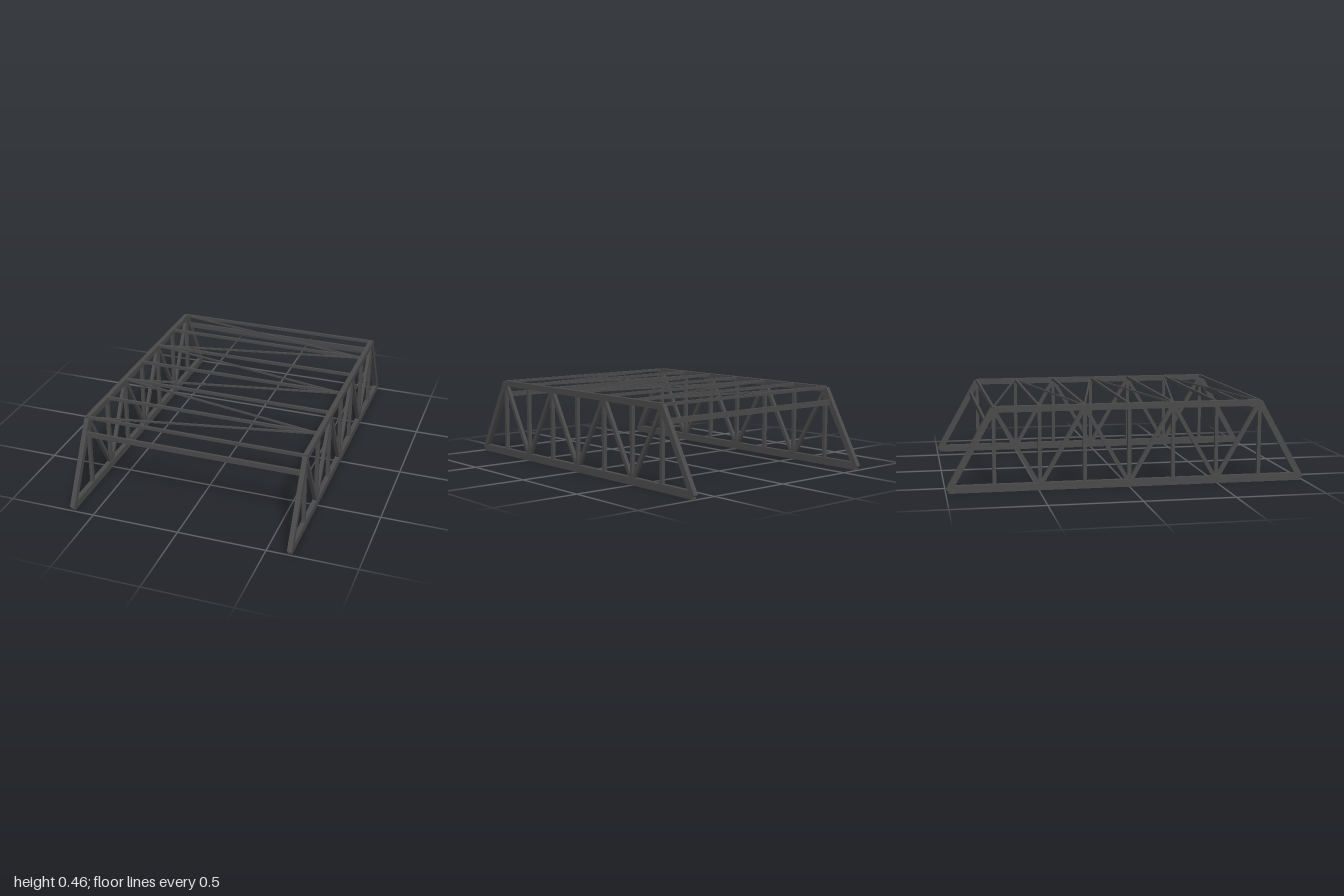
import * as THREE from 'three';

export function createModel() {
  const model = new THREE.Group();
  model.name = 'trussBridge';
  const steel = new THREE.MeshStandardMaterial({ color: 0x4a4a4a });
  steel.name = 'darkSteel';

  const X = 0.627;       // truss plane offset
  const P = 0.2465;      // panel length
  const LOW = 0.021;     // bottom chord centre height
  const TOP = 0.447;     // top chord centre height

  // Straight bar of rectangular section between two points; w is across, h is the depth
  function bar(parent, name, a, b, w, h) {
    const from = new THREE.Vector3(...a), to = new THREE.Vector3(...b);
    const mesh = new THREE.Mesh(new THREE.BoxGeometry(w, h, from.distanceTo(to)), steel);
    mesh.position.copy(from).add(to).multiplyScalar(0.5);
    mesh.lookAt(to);
    mesh.name = name;
    parent.add(mesh);
  }

  // Side trusses
  for (const side of [-1, 1]) {
    const truss = new THREE.Group();
    truss.name = side > 0 ? 'leftTruss' : 'rightTruss';
    truss.position.x = side * X;
    model.add(truss);

    bar(truss, 'bottomChord', [0, LOW, -4 * P], [0, LOW, 4 * P], 0.027, 0.042);
    bar(truss, 'topChord', [0, TOP, -3 * P], [0, TOP, 3 * P], 0.027, 0.034);

    for (let i = -3; i <= 3; i++) {
      bar(truss, 'vertical', [0, LOW, i * P], [0, TOP, i * P], 0.02, 0.02);
    }
    for (const end of [-1, 1]) {
      bar(truss, 'endPost', [0, 0.014, end * 4 * P], [0, TOP + 0.004, end * 3 * P], 0.027, 0.034);
    }
    // Diagonals alternate down and up between the end posts
    for (let i = -3; i < 3; i++) {
      const startsHigh = i % 2 !== 0;
      bar(truss, 'diagonal',
        [0, startsHigh ? TOP : LOW, i * P],
        [0, startsHigh ? LOW : TOP, (i + 1) * P], 0.02, 0.022);
    }
  }

  // Cross beams and zigzag wind bracing between the top chords
  const roof = new THREE.Group();
  roof.name = 'topBracing';
  model.add(roof);
  const beamY = 0.4555;
  for (let i = -3; i <= 3; i++) {
    bar(roof, 'crossBeam', [-X, beamY, i * P], [X, beamY, i * P], 0.014, 0.017);
    if (i < 3) {
      const s = i % 2 !== 0 ? -1 : 1;
      bar(roof, 'windBrace', [s * X, beamY, i * P], [-s * X, beamY, (i + 1) * P], 0.01, 0.01);
    }
  }

  // Deeper portal beams joining the end posts
  for (const end of [-1, 1]) {
    bar(roof, 'portalBeam', [-X, 0.373, end * 0.781], [X, 0.373, end * 0.781], 0.014, 0.03);
  }

  return model;
}
